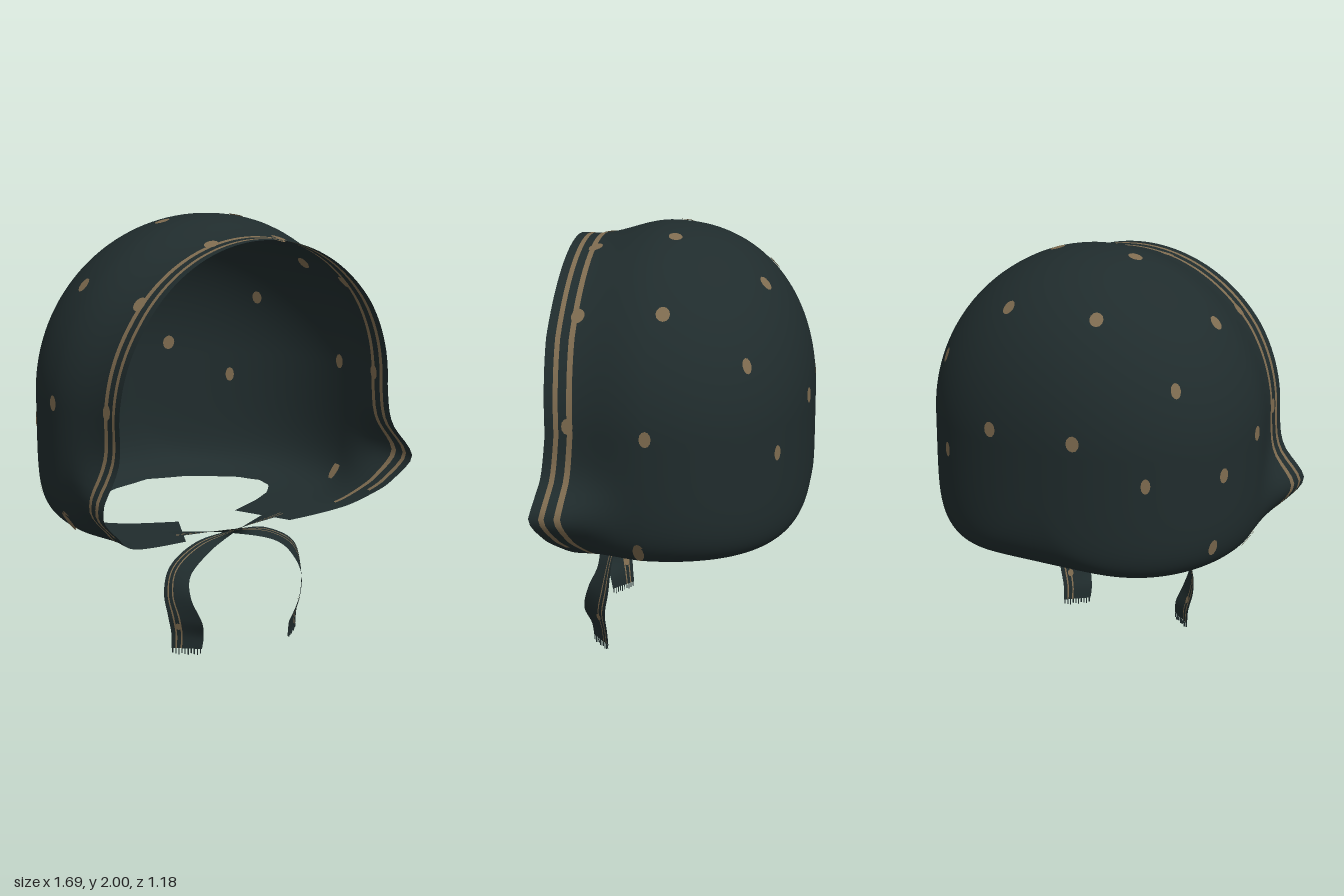
import * as THREE from 'three';

const cloth = new THREE.MeshStandardMaterial({ color: 0x202c2d, side: THREE.DoubleSide });
cloth.name = 'dark teal cloth';
const tan = new THREE.MeshStandardMaterial({ color: 0x7f6c50, side: THREE.DoubleSide });
tan.name = 'tan print';
const { smoothstep, smootherstep, lerp } = THREE.MathUtils;

// Grid of points; isStripe(row, column) picks the tan cells
function gridGeometry(rows, cols, point, isStripe) {
  const pos = [], plain = [], stripe = [];
  for (let i = 0; i < rows; i++)
    for (let j = 0; j < cols; j++) pos.push(...point(i, j));
  for (let i = 0; i < rows - 1; i++)
    for (let j = 0; j < cols - 1; j++) {
      const a = i * cols + j, b = a + cols;
      (isStripe(i, j) ? stripe : plain).push(a, a + 1, b, b, a + 1, b + 1);
    }
  const g = new THREE.BufferGeometry();
  g.setAttribute('position', new THREE.Float32BufferAttribute(pos, 3));
  g.setIndex([...plain, ...stripe]);
  g.addGroup(0, plain.length, 0);
  g.addGroup(plain.length, stripe.length, 1);
  g.computeVertexNormals();
  return g;
}

// Linear lookup in a table of [key, value] pairs
function lookup(table, key) {
  if (key <= table[0][0]) return table[0][1];
  for (let i = 1; i < table.length; i++) {
    const [k0, v0] = table[i - 1], [k1, v1] = table[i];
    if (key <= k1) return lerp(v0, v1, (key - k0) / (k1 - k0));
  }
  return table[table.length - 1][1];
}

// Depth of the face rim at each height
const RIM = [[0.56, 0.36], [0.6, 0.42], [0.7, 0.53], [0.84, 0.59], [1, 0.55], [1.2, 0.53], [1.6, 0.54], [1.93, 0.52]];
// Half-width of the neck hole at each depth, closing to pointed chin flaps
const HOLE = [[-0.44, 0], [-0.42, 0.18], [-0.38, 0.32], [-0.3, 0.45], [-0.2, 0.52], [-0.12, 0.52], [-0.05, 0.46],
  [0.02, 0.34], [0.1, 0.16], [0.16, 0.19], [0.36, 0.29]];

// Arch: round crown above y = 1.2, squarer sides that turn in under the chin
const MID = 1.2, SQUARE = 6;
function archPoint(tau, width, height, gap) {
  const side = Math.sign(tau), k = Math.abs(tau);
  if (k <= 0.5) {
    const a = tau * Math.PI;
    return [width * Math.sin(a), MID + width * Math.cos(a)];
  }
  const end = Math.acos(Math.min(1, (gap / Math.max(width, 1e-6)) ** (SQUARE / 2)));
  const a = end * smootherstep(k, 0.5, 1);
  return [side * width * Math.max(0, Math.cos(a)) ** (2 / SQUARE), MID - height * Math.sin(a) ** (2 / SQUARE)];
}

function buildHood() {
  // Distances back from the rim, including the edges of both stripes
  const front = [0, 0.015, 0.039, 0.061, 0.098, 0.123, 0.16, 0.2, 0.23, 0.26, 0.29, 0.32, 0.36, 0.4, 0.43];
  const backRows = 52, cols = 141;
  const point = (i, j) => {
    const tau = j / (cols - 1) * 2 - 1;
    if (i < front.length) {
      const d = front[i], width = 0.8 - 0.07 * smoothstep(0.53 - d, 0.1, 0.45);
      const bottomZ = 0.36 - d * 0.26 / 0.43;
      let [x, y] = archPoint(tau, width, 0.635, lookup(HOLE, bottomZ));
      // cheek flare
      x += Math.sign(x) * 0.12 * Math.exp(-(((y - 0.84) / 0.13) ** 2)) * (1 - smoothstep(d, 0.05, 0.4));
      const rim = lookup(RIM, y);
      return [x, y, rim - d * (rim - 0.1) / 0.43];
    }
    // rounded back of the head
    const u = Math.sin((i - front.length + 1) / backRows * Math.PI / 2), z = 0.1 - 0.69 * u;
    const width = 0.8 * Math.max(0, 1 - u ** 2.2) ** (1 / 2.2);
    const height = (0.635 - 0.035 * u * u) * Math.max(0, 1 - u ** 6) ** (1 / 6);
    return [...archPoint(tau, width, height, lookup(HOLE, z)), z];
  };
  // the stripes run off the receding rim at the chin
  const isStripe = (i, j) => (i === 2 && point(i, j)[1] > 0.68) || (i === 4 && point(i, j)[1] > 0.6);
  const hood = new THREE.Mesh(gridGeometry(front.length + backRows, cols, point, isStripe), [cloth, tan]);
  hood.name = 'hood';
  return hood;
}

// Ribbon tie that starts at one chin flap and crosses to the other side
function buildTie(side, lift) {
  const edge = pts => new THREE.CatmullRomCurve3(pts.map(([x, y, z]) =>
    new THREE.Vector3(x * side, y + lift * (1 - smoothstep(y, 0.05, 0.5)), z)));
  const outer = edge([[-0.3, 0.58, 0.32], [0, 0.57, 0.35], [0.2, 0.53, 0.31], [0.35, 0.44, 0.32],
    [0.387, 0.32, 0.33], [0.378, 0.2, 0.35], [0.357, 0.1, 0.345], [0.355, 0.03, 0.34]]);
  const inner = edge([[-0.3, 0.57, 0.2], [0, 0.54, 0.32], [0.2, 0.485, 0.39], [0.29, 0.4, 0.4],
    [0.312, 0.31, 0.44], [0.27, 0.18, 0.47], [0.243, 0.09, 0.44], [0.245, 0.03, 0.43]]);
  const across = [0, 0.13, 0.18, 0.3, 0.35, 0.7, 1], rows = 57;
  const at = (t, w) => outer.getPoint(t).lerp(inner.getPoint(t), w);
  const ribbon = new THREE.Mesh(
    gridGeometry(rows, across.length, (i, j) => at(i / (rows - 1), across[j]).toArray(), (i, j) => j === 1 || j === 3),
    [cloth, tan]);
  ribbon.name = 'ribbon';
  const tie = new THREE.Group();
  tie.name = side > 0 ? 'leftTie' : 'rightTie';
  tie.add(ribbon);
  // frayed end
  for (let i = 0; i < 10; i++) {
    const length = 0.022 + 0.008 * ((i * 7) % 3) / 2;
    const thread = new THREE.Mesh(new THREE.BoxGeometry(0.004, length, 0.004), cloth);
    thread.name = 'fringeThread';
    thread.position.copy(at(1, (i + 0.5) / 10));
    thread.position.y -= length / 2;
    tie.add(thread);
  }
  return tie;
}

export function createModel() {
  const model = new THREE.Group();
  model.name = 'bonnet';
  const hood = buildHood();
  const ties = [buildTie(1, 0), buildTie(-1, 0.025)];
  model.add(hood, ...ties);
  model.updateMatrixWorld(true);

  // Printed dots, dropped onto the cloth along a direction and shown on both faces
  const dots = new THREE.Group();
  dots.name = 'dots';
  const disc = new THREE.CircleGeometry(0.031, 12);
  const ray = new THREE.Raycaster();
  const addDot = (target, origin, dir, sx = 1, sy = 1.15) => {
    ray.set(new THREE.Vector3(...origin), new THREE.Vector3(...dir));
    const hit = ray.intersectObject(target, true)[0];
    if (!hit) return;
    for (const s of [-1, 1]) {
      const n = hit.face.normal.clone().multiplyScalar(s);
      const dot = new THREE.Mesh(disc, tan);
      dot.name = 'dot';
      dot.position.copy(hit.point).addScaledVector(n, 0.004);
      dot.lookAt(dot.position.clone().add(n));
      dot.scale.set(sx, sy, 1);
      dots.add(dot);
    }
  };
  for (const s of [-1, 1]) {
    // crown
    for (const [x, z] of [[0.22, -0.37], [0.2, 0.035], [0.605, 0.03], [0.18, 0.4], [0.55, 0.41]])
      addDot(hood, [s * x, 3, z], [0, -1, 0]);
    // back
    for (const [x, y, sx] of [[0.21, 1.27, 1], [0.585, 1.5, 0.75], [0.51, 1.09, 0.7]])
      addDot(hood, [s * x, y, -3], [0, 0, 1], sx);
    // sides
    for (const [z, y, sx, sy] of [[0.08, 1.22, 0.85, 1.15], [0.43, 1.24, 0.85, 1.15], [0.12, 0.68, 0.8, 1.9]])
      addDot(hood, [s * 3, y, z], [-s, 0, 0], sx, sy);
  }
  addDot(hood, [-3, 1.09, -0.17], [1, 0, 0], 0.8);
  addDot(hood, [-3, 0.75, -0.2], [1, 0, 0], 0.8, 1.3);
  // ties
  ties.forEach((tie, i) => addDot(tie, [i ? -0.34 : 0.34, 0.17, 3], [0, 0, -1], 0.5, 0.6));
  model.add(dots);
  return model;
}
